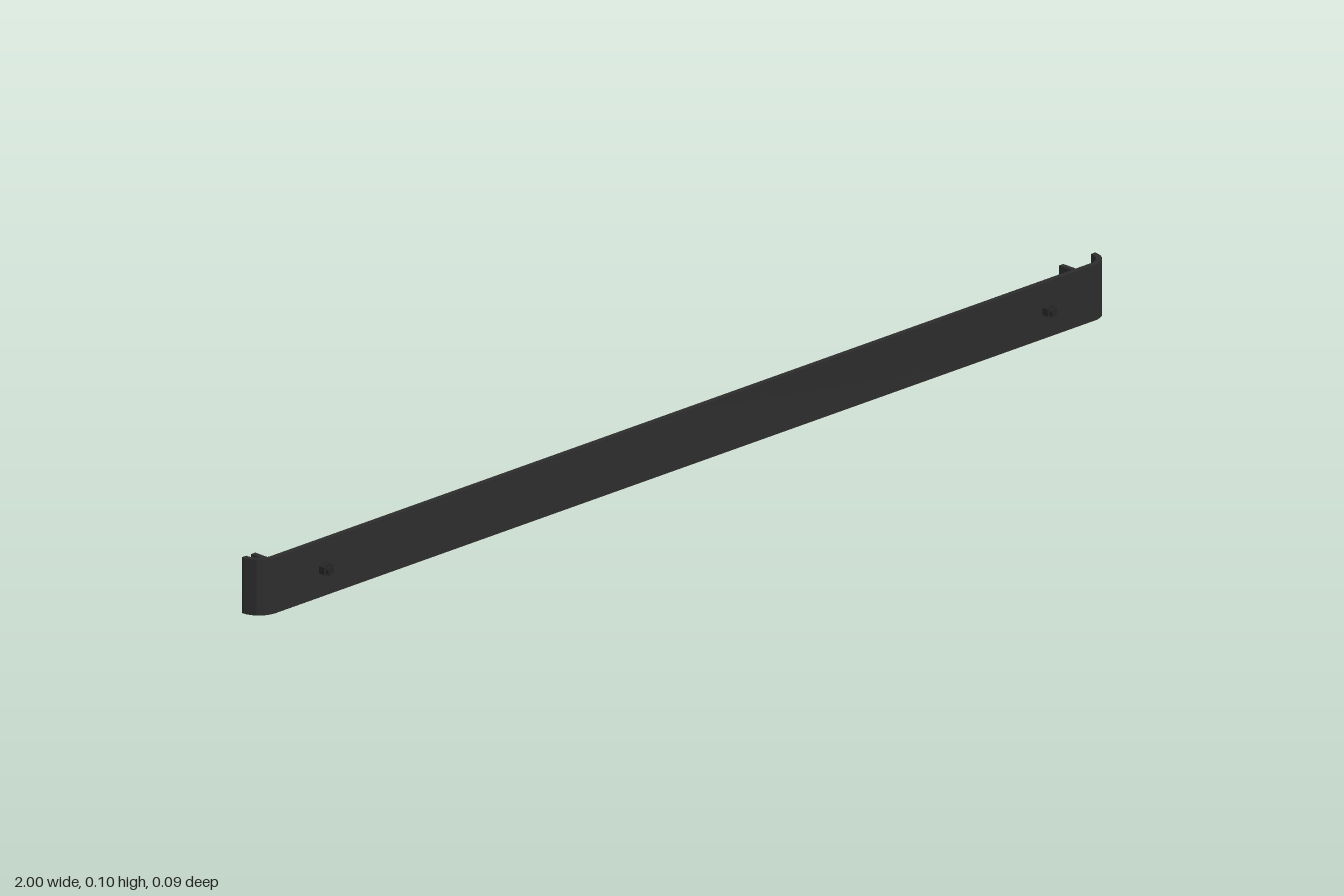
import * as THREE from 'three';
import { toCreasedNormals } from 'three/addons/utils/BufferGeometryUtils.js';

export function createModel() {
  const root = new THREE.Group();
  root.name = 'bumperBar';
  const paint = new THREE.MeshStandardMaterial({ color: 0x2c2c2c });
  const steel = new THREE.MeshStandardMaterial({ color: 0x262626 });

  const add = (name, geometry, material, x, y, z, parent = root) => {
    const mesh = new THREE.Mesh(geometry, material);
    mesh.name = name;
    mesh.position.set(x, y, z);
    parent.add(mesh);
    return mesh;
  };

  // Bent bar: plan outline (shape y = -z), extruded upward
  const R = 0.04, T = 0.01, H = 0.1, FRONT = 0.025;
  const cx = 1 - R, cy = R - FRONT;
  const plan = new THREE.Shape();
  plan.moveTo(-1, cy);
  plan.absarc(-cx, cy, R, Math.PI, Math.PI * 1.5, false);
  plan.absarc(cx, cy, R, -Math.PI / 2, 0, false);
  plan.lineTo(1 - T, cy);
  plan.absarc(cx, cy, R - T, 0, -Math.PI / 2, true);
  plan.absarc(-cx, cy, R - T, Math.PI * 1.5, Math.PI, true);
  plan.closePath();
  const bar = new THREE.ExtrudeGeometry(plan, { depth: H, bevelEnabled: false, curveSegments: 10 });
  bar.rotateX(-Math.PI / 2);
  add('bar', toCreasedNormals(bar, 0.6), paint, 0, 0, 0);

  // Mounting plates and bolts, mirrored left and right
  for (const side of [1, -1]) {
    const label = side > 0 ? 'left' : 'right';
    add(label + 'MountingPlate', new THREE.BoxGeometry(0.01, 0.082, 0.06), paint, side * 0.947, 0.044, -0.012);

    const bolt = new THREE.Group();
    bolt.name = label + 'Bolt';
    bolt.position.set(side * 0.848, 0.05, 0);
    root.add(bolt);
    const head = new THREE.CylinderGeometry(0.0125, 0.0125, 0.012, 6).toNonIndexed();
    head.computeVertexNormals();
    add('hexNut', head, steel, 0, 0, 0.031, bolt).rotation.x = Math.PI / 2;
    add('boltTip', new THREE.CylinderGeometry(0.007, 0.007, 0.019, 16), steel, 0, 0, 0.0335, bolt).rotation.x = Math.PI / 2;
  }
  return root;
}
